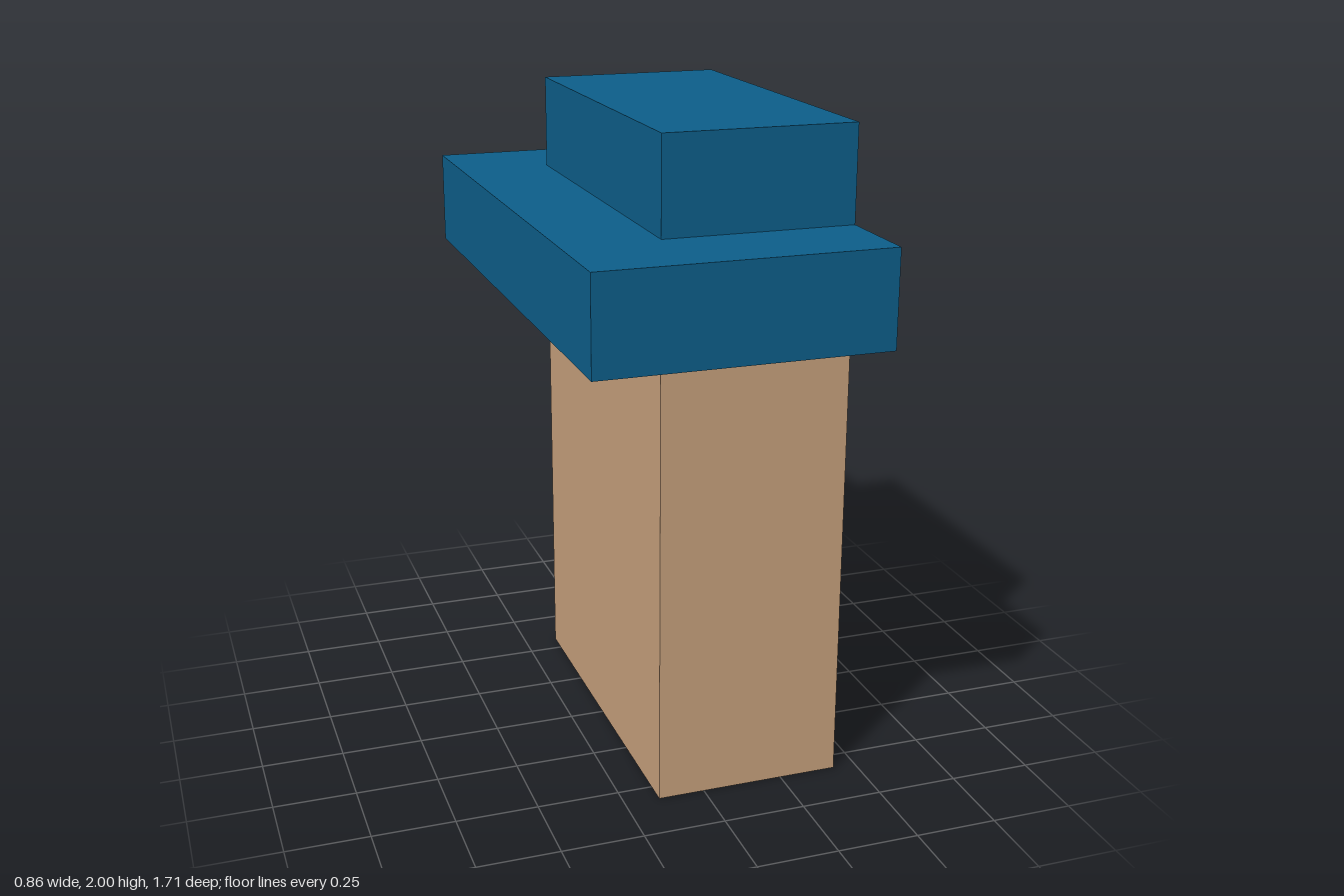
import * as THREE from 'three';

// One grid unit: the model is seven units tall
const U = 2 / 7;

export function createModel() {
  const group = new THREE.Group();
  const tan = new THREE.MeshStandardMaterial({ color: 0xc9a27e });
  tan.name = 'tan';
  const blue = new THREE.MeshStandardMaterial({ color: 0x0d5f8b });
  blue.name = 'blue';

  // Box given by its size and base height in units; its +x side is flush with x = 1.5 units
  const block = (name, material, width, height, depth, base) => {
    const mesh = new THREE.Mesh(new THREE.BoxGeometry(width * U, height * U, depth * U), material);
    mesh.name = name;
    mesh.position.set((1.5 - width / 2) * U, (base + height / 2) * U, 0);
    group.add(mesh);
  };

  block('post', tan, 2, 5, 4, 0);
  block('brim', blue, 3, 1, 6, 5);
  block('crown', blue, 2, 1, 4, 6);

  return group;
}
